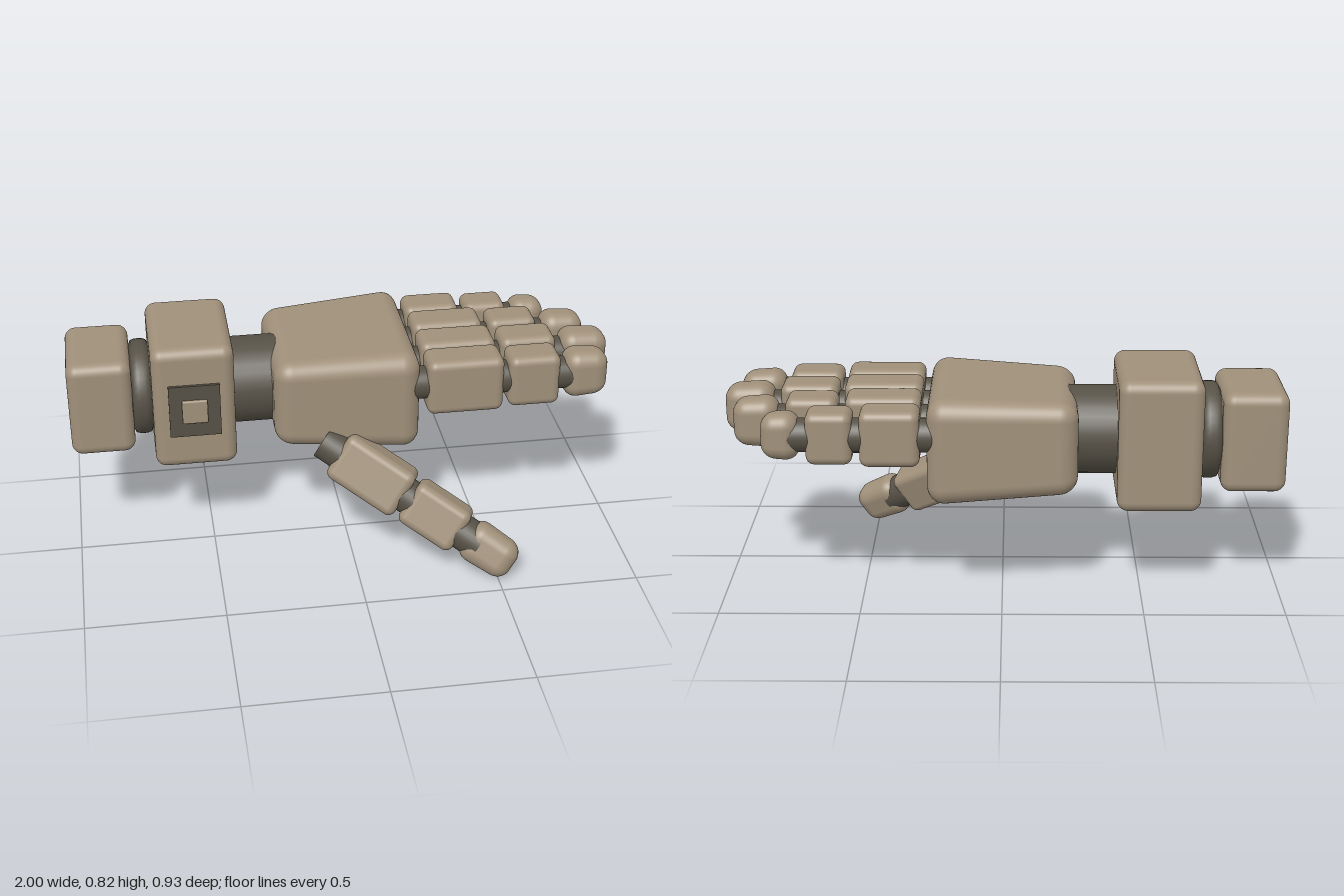
import * as THREE from 'three';
import { RoundedBoxGeometry } from 'three/addons/geometries/RoundedBoxGeometry.js';

const tan = new THREE.MeshStandardMaterial({ color: 0xa0907a });
tan.name = 'tan shell';
const dark = new THREE.MeshStandardMaterial({ color: 0x565146 });
dark.name = 'dark joint';

function add(parent, name, geometry, material, x, y, z) {
  const mesh = new THREE.Mesh(geometry, material);
  mesh.name = name;
  mesh.position.set(x, y, z);
  parent.add(mesh);
  return mesh;
}

const box = (w, h, d, r) => new RoundedBoxGeometry(w, h, d, 5, r);

// Cylinder lying along x
const rod = (radius, length) =>
  new THREE.CylinderGeometry(radius, radius, length, 32).rotateZ(Math.PI / 2);

// Scales the cross-section linearly from the -x end to the +x end
function taper(geometry, length, startY, endY, startZ, endZ) {
  const p = geometry.attributes.position;
  for (let i = 0; i < p.count; i++) {
    const t = p.getX(i) / length + 0.5;
    p.setY(i, p.getY(i) * THREE.MathUtils.lerp(startY, endY, t));
    p.setZ(i, p.getZ(i) * THREE.MathUtils.lerp(startZ, endZ, t));
  }
  return geometry;
}

// Three shells along x joined by a dark core; spans holds [start, end] pairs
function digit(name, spans, height, width, coreRadius, coreStart) {
  const group = new THREE.Group();
  group.name = name;
  spans.forEach(([a, b], i) => {
    const length = b - a;
    const h = height - i * 0.014;
    const w = width - i * 0.007;
    const isTip = i === 2;
    const shell = box(length, h, w, isTip ? 0.052 : 0.03);
    if (isTip) taper(shell, length, 1.02, 0.9, 1.02, 0.9);
    add(group, ['baseSegment', 'middleSegment', 'tipSegment'][i], shell, tan, (a + b) / 2, 0, 0);
  });
  const coreEnd = spans[2][0] + 0.06;
  add(group, 'knuckleCore', rod(coreRadius, coreEnd - coreStart), dark, (coreStart + coreEnd) / 2, 0, 0);
  return group;
}

export function createModel() {
  const model = new THREE.Group();
  model.name = 'mechanicalHand';
  const axisY = 0.605;
  const axisZ = -0.172;

  // Forearm blocks and joints
  add(model, 'forearmEnd', box(0.23, 0.365, 0.355, 0.04), tan, -0.885, axisY, axisZ);
  add(model, 'forearmCore', rod(0.15, 0.14), dark, -0.735, axisY, axisZ);
  const ringProfile = [[0, -0.036], [0.155, -0.036], [0.17, -0.028], [0.175, -0.012],
    [0.175, 0.012], [0.17, 0.028], [0.155, 0.036], [0, 0.036]];
  const ring = new THREE.LatheGeometry(ringProfile.map(([r, y]) => new THREE.Vector2(r, y)), 40);
  add(model, 'forearmRing', ring.rotateZ(Math.PI / 2), dark, -0.735, axisY, axisZ);
  add(model, 'cuff', box(0.297, 0.48, 0.435, 0.04), tan, -0.552, axisY, -0.178);
  add(model, 'wrist', rod(0.16, 0.26), dark, -0.31, axisY, axisZ);

  // Cuff panel with a raised button
  add(model, 'cuffPanel', new THREE.BoxGeometry(0.185, 0.205, 0.02), dark, -0.552, 0.607, 0.04);
  add(model, 'cuffButton', box(0.092, 0.092, 0.02, 0.006), tan, -0.552, 0.607, 0.051);

  // Palm, wider and taller towards the fingers
  const palm = taper(box(0.525, 0.36, 0.57, 0.065), 0.525, 0.92, 1.08, 0.91, 1.08);
  add(model, 'palm', palm, tan, -0.002, axisY, -0.175);

  // Fingers, front to back: z centre, height, width, segment spans
  const fingers = [
    ['indexFinger', 0.056, 0.213, 0.146, [[0.285, 0.565], [0.585, 0.775], [0.797, 0.96]]],
    ['middleFinger', -0.098, 0.213, 0.152, [[0.285, 0.565], [0.587, 0.793], [0.82, 0.998]]],
    ['ringFinger', -0.254, 0.21, 0.145, [[0.285, 0.55], [0.577, 0.758], [0.785, 0.947]]],
    ['littleFinger', -0.404, 0.2, 0.14, [[0.283, 0.49], [0.515, 0.675], [0.698, 0.832]]],
  ];
  for (const [name, z, height, width, spans] of fingers) {
    const finger = digit(name, spans, height, width, 0.06, 0.2);
    finger.position.set(0, 0.661, z);
    model.add(finger);
  }

  // Thumb, reaching forwards and down from beneath the palm
  const thumb = digit('thumb', [[0, 0.29], [0.307, 0.535], [0.552, 0.755]], 0.186, 0.142, 0.066, -0.07);
  const along = new THREE.Vector3(0.78, -0.46, 0.42).normalize();
  const side = along.clone().cross(new THREE.Vector3(0.555, 0.81, -0.1)).normalize();
  const up = side.clone().cross(along);
  thumb.quaternion.setFromRotationMatrix(new THREE.Matrix4().makeBasis(along, up, side));
  thumb.position.set(-0.036, 0.422, 0.1);
  model.add(thumb);

  return model;
}
